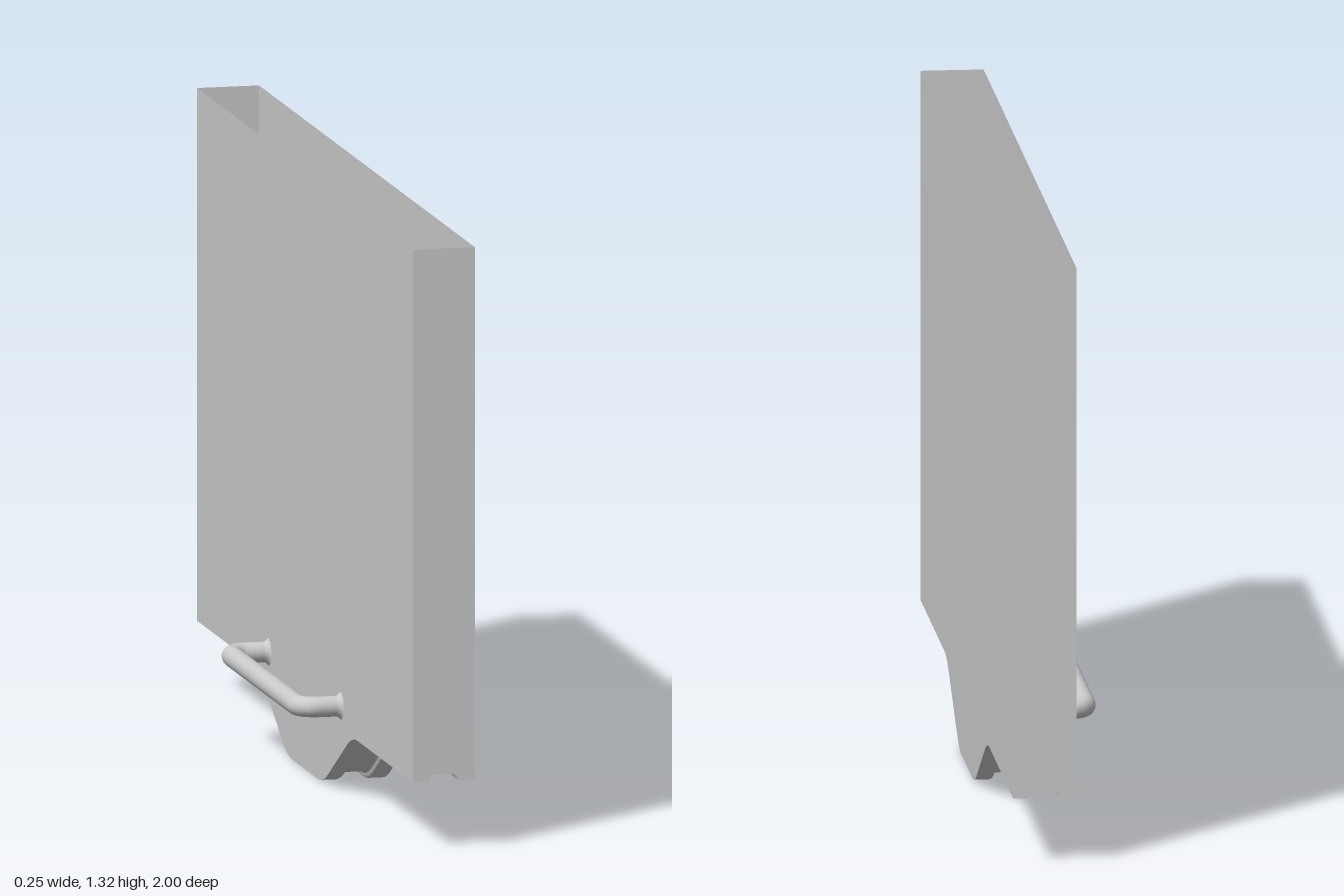
import * as THREE from 'three';
import { toCreasedNormals } from 'three/addons/utils/BufferGeometryUtils.js';

const HALF_W = 0.0685, TOP = 1.315, STEP = 0.148, MID_X = 0.0535;

// Lower edge of the panel along z: high ends, lowered middle, rounded bends
function lowerEdge() {
  const path = new THREE.CurvePath();
  const v = (z, y) => new THREE.Vector2(z, y);
  const slope = STEP / 0.27, r = 0.05;
  const pts = [];
  const bend = (a, b, c) => pts.push(...new THREE.QuadraticBezierCurve(a, b, c).getPoints(8));
  bend(v(0.165 - r, 0), v(0.165, 0), v(0.165 + r, r * slope));
  bend(v(0.435 - r, STEP - r * slope), v(0.435, STEP), v(0.435 + r, STEP));
  pts.push(v(1, STEP));
  const mirrored = pts.map(p => v(-p.x, p.y)).reverse();
  return [...mirrored, ...pts];
}

// Cross-section of the underside: flat lips beside a shallow central groove
function grooveProfile() {
  const half = [[HALF_W, 0], [0.036, 0], [0.032, 0.002], [0.030, 0.005],
    [0.029, 0.011], [0.026, 0.014], [0.022, 0.015]];
  const left = half.map(([x, y]) => new THREE.Vector2(-x, y));
  const right = half.map(([x, y]) => new THREE.Vector2(x, y)).reverse();
  return [...left, ...right];
}

// Sweep the groove profile along the lower edge
function undersideGeometry(edge, profile) {
  const pos = [], index = [], n = profile.length;
  edge.forEach((e, i) => profile.forEach((p, j) => {
    pos.push(p.x, e.y + p.y, e.x);
    if (i < edge.length - 1 && j < n - 1) {
      const a = i * n + j;
      index.push(a, a + 1, a + n, a + 1, a + n + 1, a + n);
    }
  }));
  const geo = new THREE.BufferGeometry();
  geo.setAttribute('position', new THREE.Float32BufferAttribute(pos, 3));
  geo.setIndex(index);
  return toCreasedNormals(geo, 0.5);
}

export function createModel() {
  const model = new THREE.Group();
  const material = new THREE.MeshStandardMaterial({ color: 0xcccccc, side: THREE.DoubleSide });
  const add = (parent, name, geo) => {
    const mesh = new THREE.Mesh(geo, material);
    mesh.name = name;
    parent.add(mesh);
    return mesh;
  };

  // Hollow panel, open at the top
  const panel = new THREE.Group();
  panel.name = 'panel';
  panel.position.x = MID_X;
  model.add(panel);

  const edge = lowerEdge(), profile = grooveProfile();
  const v = (x, y) => new THREE.Vector2(x, y);
  const sideShape = new THREE.Shape([...edge, v(1, TOP), v(-1, TOP)]);
  const endShape = new THREE.Shape([
    ...profile.map(p => v(p.x, p.y + STEP)), v(HALF_W, TOP), v(-HALF_W, TOP)]);

  for (const s of [-1, 1]) {
    const wall = add(panel, s > 0 ? 'leftWall' : 'rightWall', new THREE.ShapeGeometry(sideShape));
    wall.rotation.y = s * Math.PI / 2;
    wall.position.x = s * HALF_W;
    const end = add(panel, s > 0 ? 'frontEnd' : 'backEnd', new THREE.ShapeGeometry(endShape));
    end.rotation.y = s > 0 ? 0 : Math.PI;
    end.position.z = s;
  }
  add(panel, 'groovedUnderside', undersideGeometry(edge, profile));

  // Bent bar handle on the right wall
  const handle = new THREE.Group();
  handle.name = 'handle';
  handle.position.set(MID_X - HALF_W, 0.197, -0.006);
  model.add(handle);

  const reach = -0.089, span = 0.335, bendR = 0.04;
  const p = (x, z) => new THREE.Vector3(x, 0, z);
  const path = new THREE.CurvePath();
  const corner = s => {
    const pts = [];
    for (let i = 0; i <= 8; i++) {
      const a = (i / 8) * Math.PI / 2;
      pts.push(p(reach + bendR * (1 - Math.sin(a)), s * (span - bendR * (1 - Math.cos(a)))));
    }
    return pts;
  };
  const pts = [p(0, -span), ...corner(-1), ...corner(1).reverse(), p(0, span)];
  for (let i = 0; i < pts.length - 1; i++) path.add(new THREE.LineCurve3(pts[i], pts[i + 1]));
  // Even spacing along the path keeps the bends smooth
  add(handle, 'bar', new THREE.TubeGeometry(path, 160, 0.0225, 20, false));

  // Flared collars where the bar meets the wall
  const collar = [[0.0225, 0.012], [0.0235, 0.007], [0.026, 0.003], [0.030, 0]].reverse();
  for (const s of [-1, 1]) {
    const mesh = add(handle, 'collar',
      new THREE.LatheGeometry(collar.map(([r, y]) => v(r, y)), 24));
    mesh.rotation.z = Math.PI / 2;
    mesh.position.z = s * span;
  }
  return model;
}
